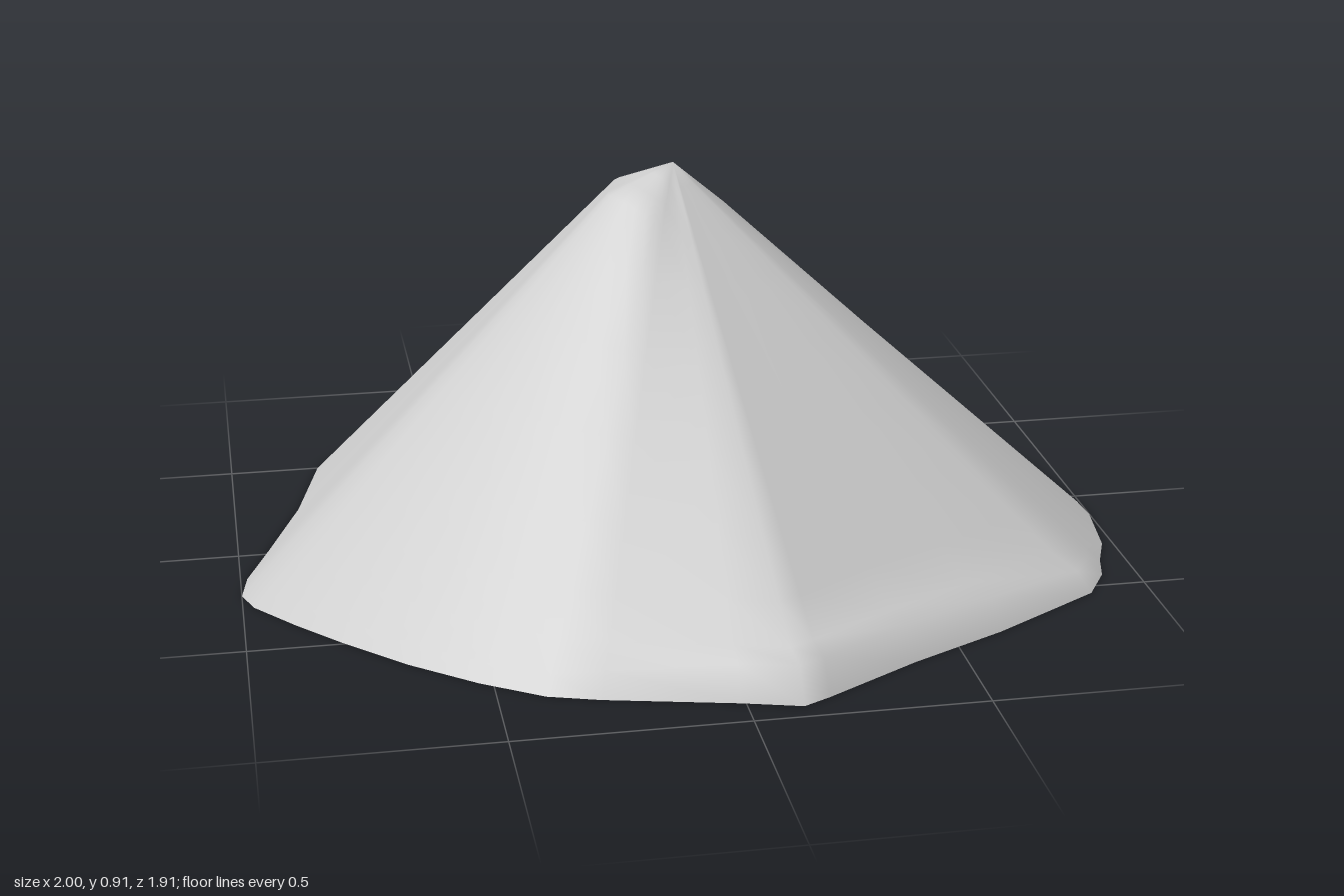
import * as THREE from 'three';

// Ground outline of the canopy as x, z pairs, from the back round by -x
const RIM = [
  0.35, -0.96, 0.27, -0.955, 0.14, -0.915, 0, -0.9, -0.16, -0.885, -0.29, -0.855,
  -0.42, -0.84, -0.53, -0.79, -0.7, -0.625, -0.79, -0.5, -0.85, -0.25, -0.93, -0.02,
  -0.985, 0.13, -1, 0.22, -0.975, 0.285, -0.89, 0.39, -0.8, 0.49, -0.665, 0.625,
  -0.53, 0.735, -0.4, 0.82, -0.29, 0.855, -0.01, 0.92, 0.115, 0.955, 0.175, 0.925,
  0.39, 0.8, 0.61, 0.69, 0.865, 0.535, 0.92, 0.445, 0.94, 0.37, 0.975, 0.28,
  1, 0.11, 0.995, 0.03, 0.955, -0.19, 0.875, -0.42, 0.8, -0.54, 0.66, -0.695,
  0.54, -0.8, 0.41, -0.935,
];
const APEX = new THREE.Vector3(0, 0.91, 0.07);
// Rings as a fraction of the way from apex to rim
const LEVELS = [0.05, 0.1, 0.15, 0.25, 0.4, 0.55, 0.7, 0.82, 0.9, 0.965, 1];

// Height of the cloth: a straight slope, a rounded shoulder and a small front lip
function clothHeight(t, dx, dz) {
  const shoulder = Math.min(1, Math.max(0, -dx) + 0.4 * Math.max(0, -dz));
  const bulge = t < 0.15 ? (0.0765 * t) / 0.15 : 0.09 * (1 - t);
  const front = THREE.MathUtils.smoothstep(0.8 * dz + 0.3 * dx, 0.5, 0.85);
  const lip = Math.max(0, 1 - Math.abs(t - 0.965) / 0.05) * 0.045;
  return APEX.y * (1 - t) + bulge * shoulder + (t < 1 ? lip * front : 0);
}

function canopyGeometry() {
  const n = RIM.length / 2;
  const positions = [APEX.x, APEX.y, APEX.z];
  const index = [];
  LEVELS.forEach((t, level) => {
    for (let i = 0; i < n; i++) {
      const rx = RIM[2 * i] - APEX.x;
      const rz = RIM[2 * i + 1] - APEX.z;
      const r = Math.hypot(rx, rz);
      positions.push(APEX.x + rx * t, clothHeight(t, rx / r, rz / r), APEX.z + rz * t);
      const next = (i + 1) % n;
      const a = 1 + level * n + i;
      const b = 1 + level * n + next;
      if (level === 0) index.push(0, a, b);
      else index.push(a - n, a, b, a - n, b, b - n);
    }
  });
  const geometry = new THREE.BufferGeometry();
  geometry.setAttribute('position', new THREE.Float32BufferAttribute(positions, 3));
  geometry.setIndex(index);
  geometry.computeVertexNormals();
  return geometry;
}

export function createModel() {
  const group = new THREE.Group();
  group.name = 'tent';
  const cloth = new THREE.MeshStandardMaterial({ color: 0xcccccc, side: THREE.DoubleSide });
  cloth.name = 'light grey cloth';
  // Open-bottomed draped canopy
  const canopy = new THREE.Mesh(canopyGeometry(), cloth);
  canopy.name = 'canopy';
  group.add(canopy);
  return group;
}
